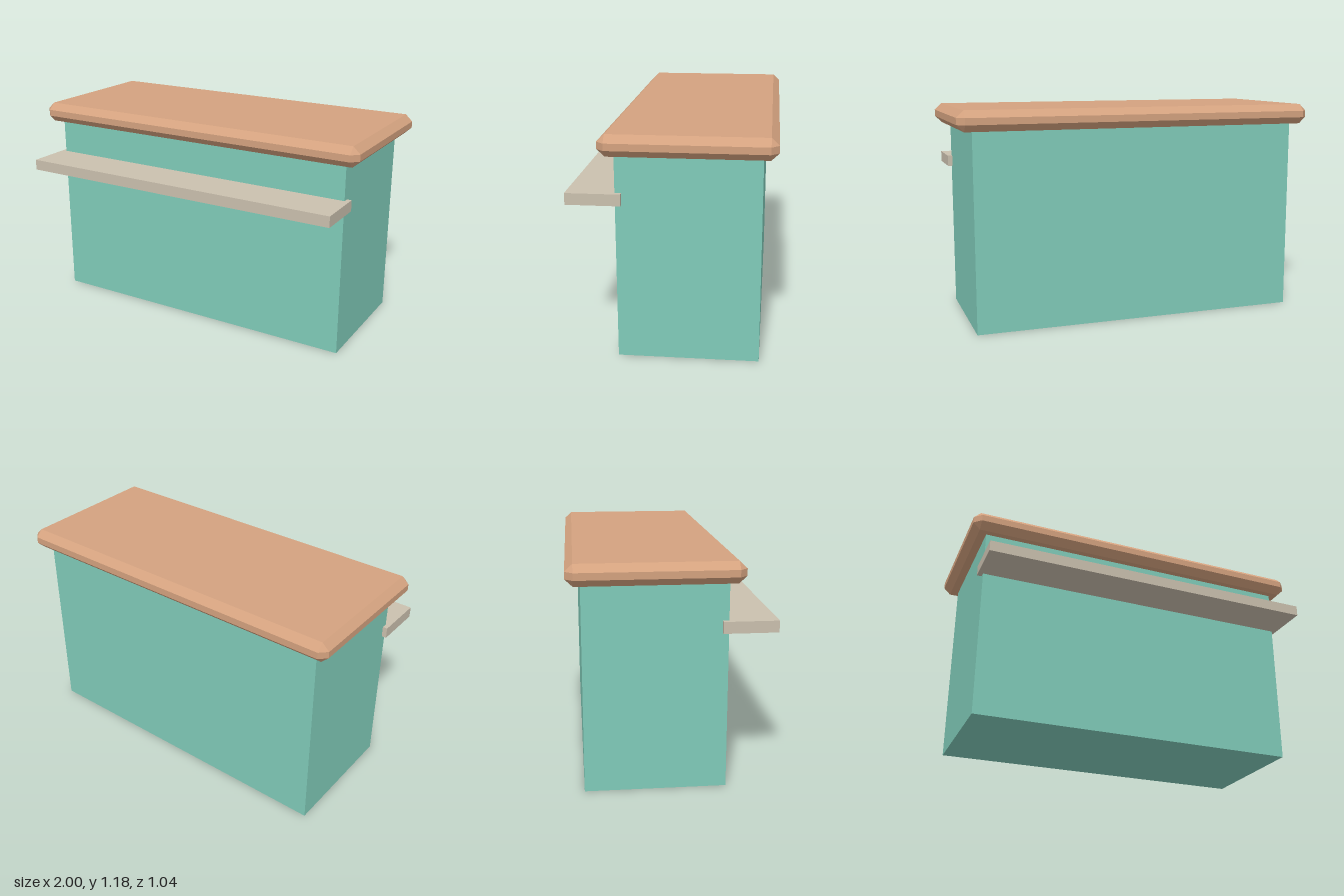
import * as THREE from 'three';
import { ConvexGeometry } from 'three/addons/geometries/ConvexGeometry.js';

function material(name, color) {
  const m = new THREE.MeshStandardMaterial({ color });
  m.name = name;
  return m;
}

// Box with every edge cut flat and a triangle at each corner
function chamferedBox(w, h, d, bevel, bevelY) {
  const points = [];
  for (const x of [-1, 1]) for (const y of [-1, 1]) for (const z of [-1, 1]) {
    for (let axis = 0; axis < 3; axis++) {
      points.push(new THREE.Vector3(
        x * (w / 2 - (axis === 0 ? 0 : bevel)),
        y * (h / 2 - (axis === 1 ? 0 : bevelY)),
        z * (d / 2 - (axis === 2 ? 0 : bevel))
      ));
    }
  }
  return new ConvexGeometry(points);
}

export function createModel() {
  const group = new THREE.Group();
  group.name = 'barCounter';
  const add = (name, geometry, mat, y, z) => {
    const mesh = new THREE.Mesh(geometry, mat);
    mesh.name = name;
    mesh.position.set(0, y, z);
    group.add(mesh);
  };

  // Cabinet body
  add('cabinet', new THREE.BoxGeometry(1.834, 1.07, 0.723), material('mint paint', 0x80cbb9), 0.535, -0.0865);

  // Overhanging worktop with chamfered edges
  add('worktop', chamferedBox(2, 0.11, 0.868, 0.039, 0.037), material('warm wood', 0xd4a27f), 1.125, -0.086);

  // Front shelf, set slightly into the cabinet
  add('frontShelf', new THREE.BoxGeometry(1.886, 0.06, 0.277), material('pale stone', 0xcac0ae), 0.847, 0.3815);

  return group;
}
